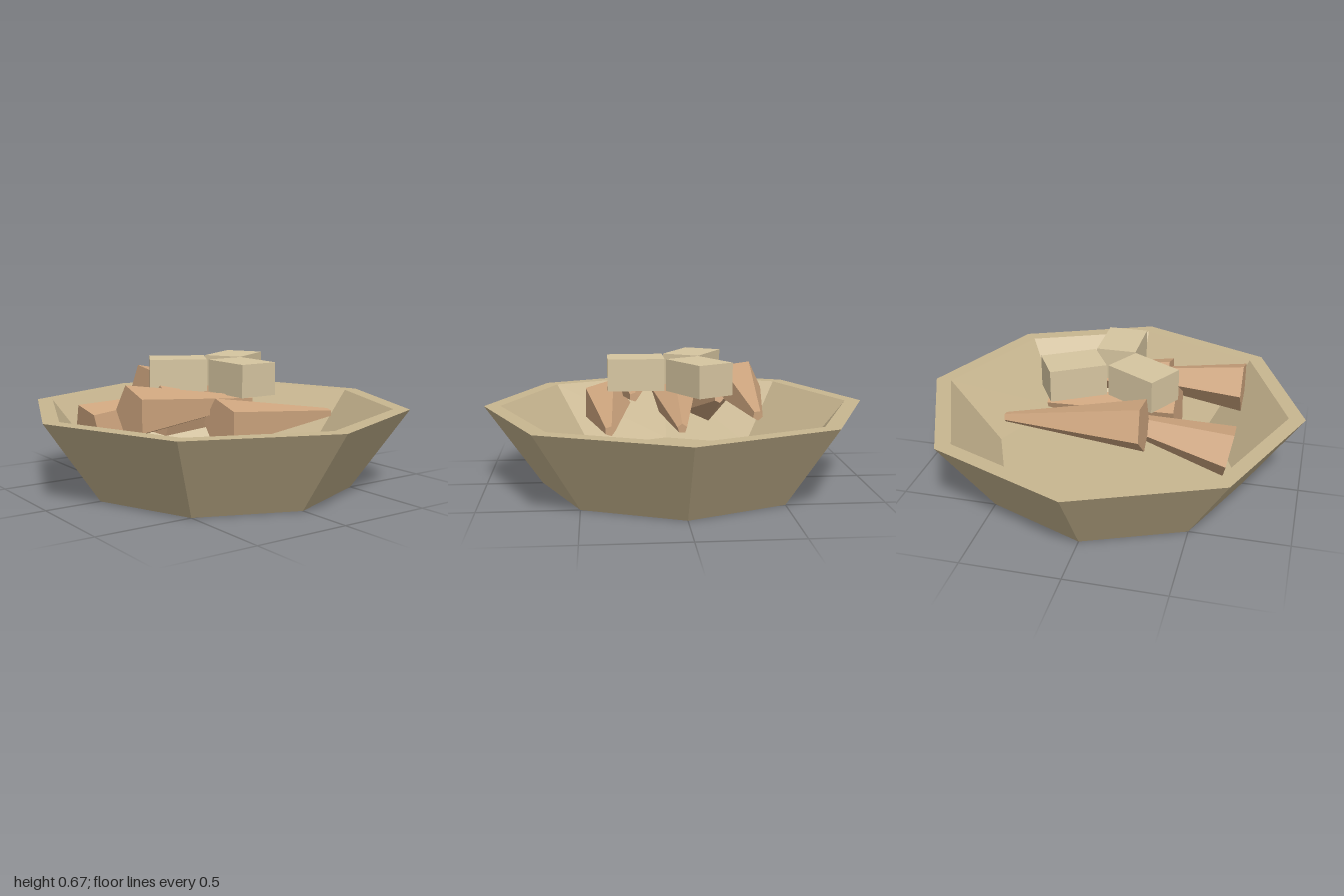
import * as THREE from 'three';

const flat = (color) => new THREE.MeshStandardMaterial({ color, flatShading: true });

function addMesh(parent, name, geometry, material) {
  const mesh = new THREE.Mesh(geometry, material);
  mesh.name = name;
  parent.add(mesh);
  return mesh;
}

// Tapered five-sided stick between two end centres; roll (degrees) turns its cross-section
function addStick(parent, name, base, tip, roll, material) {
  const a = new THREE.Vector3(...base);
  const b = new THREE.Vector3(...tip);
  const axis = b.clone().sub(a);
  const geometry = new THREE.CylinderGeometry(
    0.025, 0.136, axis.length(), 5, 1, false, -THREE.MathUtils.degToRad(roll));
  const stick = addMesh(parent, name, geometry, material);
  stick.position.copy(a).add(b).multiplyScalar(0.5);
  stick.quaternion.setFromUnitVectors(new THREE.Vector3(0, 1, 0), axis.normalize());
}

export function createModel() {
  const model = new THREE.Group();
  model.name = 'bowlOfFood';

  // Eight-sided bowl with a flat rim and thick floor
  const profile = [[0, 0], [0.707, 0], [1, 0.42], [0.915, 0.42], [0.645, 0.085], [0, 0.085]]
    .map(([r, y]) => new THREE.Vector2(r, y));
  addMesh(model, 'bowl', new THREE.LatheGeometry(profile, 8), flat(0xc8b690));

  // Loose tapered sticks: thick end, thin end, roll
  const sticks = new THREE.Group();
  sticks.name = 'taperedSticks';
  model.add(sticks);
  const stickMaterial = flat(0xcfa67f);
  [
    ['backStick', [-0.24, 0.485, -0.363], [0.468, 0.442, -0.36], 119],
    ['backRightStick', [-0.65, 0.32, -0.226], [0.04, 0.45, -0.228], 114],
    ['middleStick', [-0.352, 0.41, -0.018], [0.355, 0.36, -0.005], 91],
    ['frontRightStick', [-0.655, 0.466, 0.22], [0.05, 0.465, 0.22], 108],
    ['frontStick', [-0.24, 0.385, 0.365], [0.468, 0.378, 0.352], 108],
  ].forEach(([name, base, tip, roll]) => addStick(sticks, name, base, tip, roll, stickMaterial));

  // Three blocks fanned out around the middle
  const blocks = new THREE.Group();
  blocks.name = 'blocks';
  model.add(blocks);
  const blockMaterial = flat(0xd6c5a0);
  for (let i = 0; i < 3; i++) {
    const angle = (i * Math.PI * 2) / 3;
    const block = addMesh(blocks, `block${i + 1}`, new THREE.BoxGeometry(0.205, 0.165, 0.292), blockMaterial);
    block.position.set(Math.sin(angle) * 0.21, 0.588, Math.cos(angle) * 0.21);
    block.rotation.y = angle;
  }

  return model;
}
